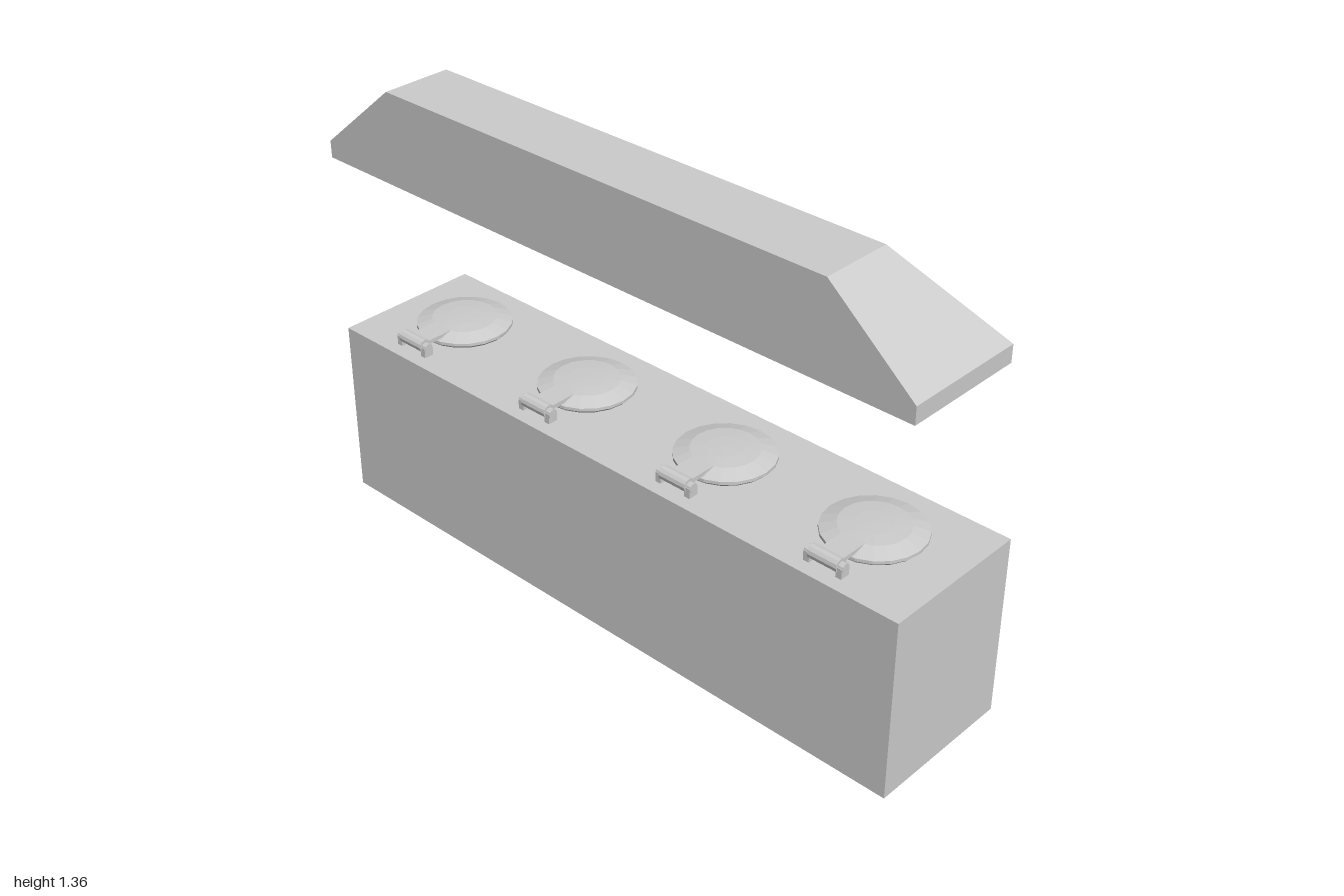
import * as THREE from 'three';

const grey = new THREE.MeshStandardMaterial({ color: 0xcccccc, flatShading: true });

function add(parent, name, geometry, x = 0, y = 0, z = 0) {
  const mesh = new THREE.Mesh(geometry, grey);
  mesh.name = name;
  mesh.position.set(x, y, z);
  parent.add(mesh);
  return mesh;
}

// Skin through rectangular rings given as [half width, y, back z, front z]
function loftRings(rings) {
  const pos = [];
  const corners = rings.map(([w, y, zb, zf]) => [[-w, y, zf], [w, y, zf], [w, y, zb], [-w, y, zb]]);
  for (let i = 0; i < corners.length - 1; i++) {
    for (let k = 0; k < 4; k++) {
      const n = (k + 1) % 4;
      const a = corners[i][k], b = corners[i][n], c = corners[i + 1][n], d = corners[i + 1][k];
      pos.push(...a, ...b, ...c, ...a, ...c, ...d);
    }
  }
  const geometry = new THREE.BufferGeometry();
  geometry.setAttribute('position', new THREE.Float32BufferAttribute(pos, 3));
  geometry.computeVertexNormals();
  return geometry;
}

// Round low lid with a hinge on its front edge
function hatch() {
  const group = new THREE.Group();
  group.name = 'hatch';
  const profile = [[0, 0], [0.132, 0], [0.14, 0.008], [0.14, 0.017], [0.095, 0.031], [0.05, 0.034], [0, 0.035]]
    .map(([r, y]) => new THREE.Vector2(r, y));
  add(group, 'lid', new THREE.LatheGeometry(profile, 20), 0, 0, -0.005);

  // Hinge barrel, pin, arm and feet
  const barrel = new THREE.CylinderGeometry(0.02, 0.02, 0.09, 12).rotateZ(Math.PI / 2);
  add(group, 'hingeBarrel', barrel, 0, 0.028, 0.185);
  const pin = new THREE.CylinderGeometry(0.014, 0.014, 0.12, 10).rotateZ(Math.PI / 2);
  add(group, 'hingePin', pin, 0, 0.026, 0.185);
  add(group, 'hingeArm', new THREE.BoxGeometry(0.07, 0.012, 0.1), 0, 0.026, 0.13);
  for (const side of [-1, 1]) {
    add(group, 'hingeFoot', new THREE.BoxGeometry(0.018, 0.03, 0.03), side * 0.05, 0.014, 0.185);
  }
  return group;
}

export function createModel() {
  const model = new THREE.Group();
  model.name = 'servingCounter';

  // Counter body
  add(model, 'counterBody', new THREE.BoxGeometry(2, 0.545, 0.455), 0, 0.2725, 0.0125);

  // Four raised doors along the back
  for (let i = 0; i < 4; i++) {
    add(model, 'door', new THREE.BoxGeometry(0.4, 0.435, 0.035), -0.75 + i * 0.5, 0.2725, -0.2225);
  }

  // Four lids on the worktop
  for (const x of [-0.765, -0.26, 0.25, 0.74]) {
    const lid = hatch();
    lid.position.set(x, 0.545, 0);
    model.add(lid);
  }

  // Hollow extractor hood: inside from the ceiling down, then outside up to the top
  add(model, 'hood', loftRings([
    [0, 1.34, 0.13, 0.13],
    [0.73, 1.34, 0.04, 0.22],
    [0.975, 1.135, -0.1, 0.22],
    [0.975, 1.09, -0.1, 0.22],
    [1, 1.09, -0.125, 0.24],
    [1, 1.14, -0.125, 0.24],
    [0.74, 1.36, 0.03, 0.24],
    [0, 1.36, 0.13, 0.13],
  ]));

  return model;
}
